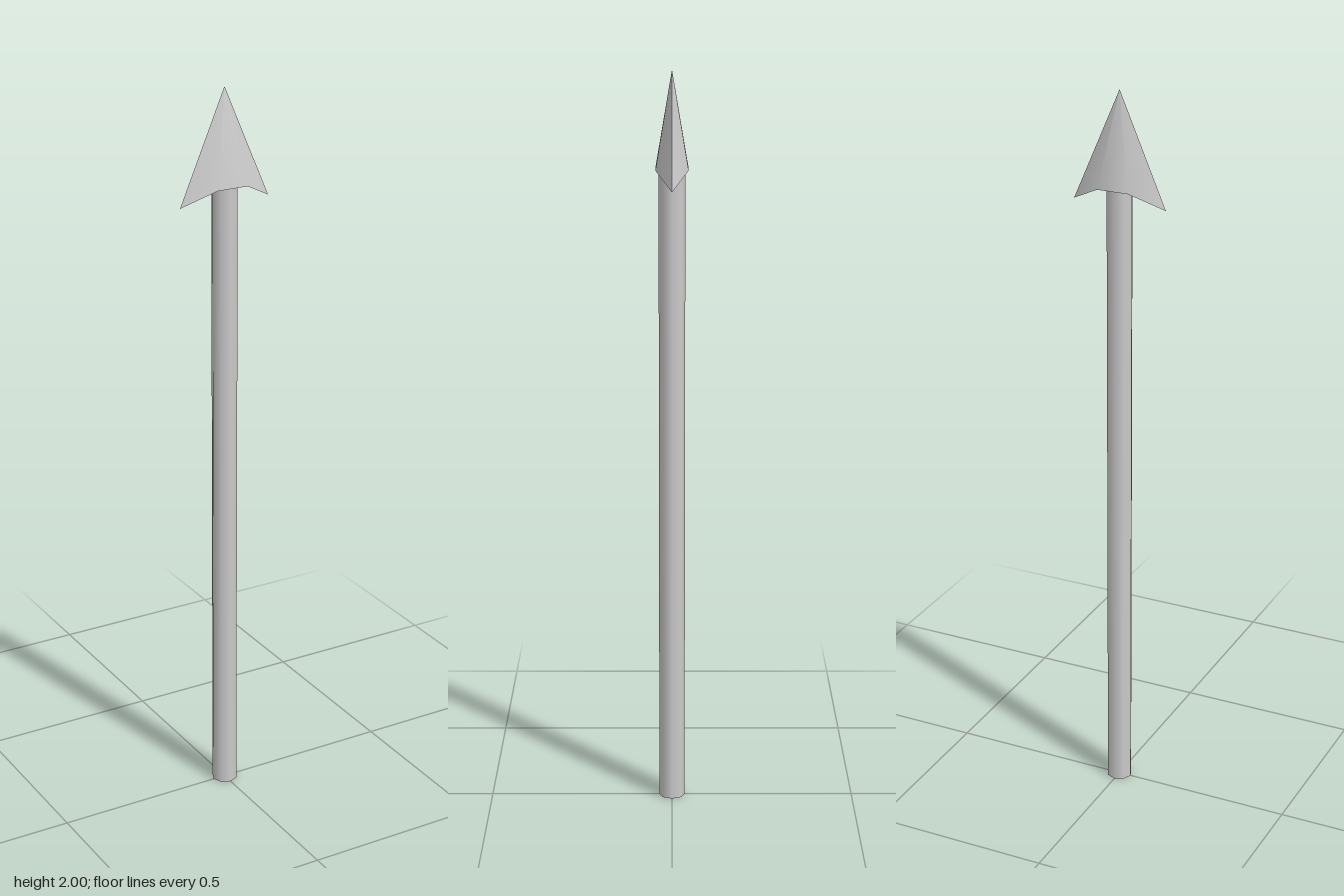
import * as THREE from 'three';
import { toCreasedNormals } from 'three/addons/utils/BufferGeometryUtils.js';

const material = new THREE.MeshStandardMaterial({ color: 0xcccccc });

// Flattened six-sided point with two swept-back barbs
function headGeometry() {
  const tip = [0, 2, 0];
  const w = 0.043, base = 1.745;
  // Lower rim, running from the left barb round the front to the right barb and back
  const rim = [
    [0.13, 1.7, 0], [w, base, w], [-w, base, w],
    [-0.13, 1.7, 0], [-w, base, -w], [w, base, -w],
  ];
  const points = [];
  const face = (a, b, c) => points.push(...a, ...b, ...c);

  // Sloping sides
  rim.forEach((p, i) => face(tip, rim[(i + 1) % 6], p));

  // Underside: a barb at each end and a flat middle
  face(rim[0], rim[1], rim[5]);
  face(rim[3], rim[4], rim[2]);
  face(rim[1], rim[2], rim[4]);
  face(rim[1], rim[4], rim[5]);

  const geometry = new THREE.BufferGeometry();
  geometry.setAttribute('position', new THREE.Float32BufferAttribute(points, 3));
  return toCreasedNormals(geometry, THREE.MathUtils.degToRad(40));
}

export function createModel() {
  const group = new THREE.Group();
  group.name = 'arrow';

  // Straight round shaft
  const length = 1.75;
  const shaft = new THREE.Mesh(new THREE.CylinderGeometry(0.035, 0.035, length, 8), material);
  shaft.position.y = length / 2;
  shaft.name = 'shaft';

  const head = new THREE.Mesh(headGeometry(), material);
  head.name = 'arrowhead';

  // The rim runs clockwise seen from above, so each side is wound outwards here
  const pos = head.geometry.attributes.position;
  const a = new THREE.Vector3(), b = new THREE.Vector3(), c = new THREE.Vector3();
  const centre = new THREE.Vector3(0, 1.8, 0);
  for (let i = 0; i < pos.count; i += 3) {
    a.fromBufferAttribute(pos, i);
    b.fromBufferAttribute(pos, i + 1);
    c.fromBufferAttribute(pos, i + 2);
    const normal = b.clone().sub(a).cross(c.clone().sub(a));
    if (normal.dot(a.clone().sub(centre)) < 0) {
      pos.setXYZ(i + 1, c.x, c.y, c.z);
      pos.setXYZ(i + 2, b.x, b.y, b.z);
    }
  }
  head.geometry = toCreasedNormals(head.geometry, THREE.MathUtils.degToRad(40));

  group.add(shaft, head);
  return group;
}
